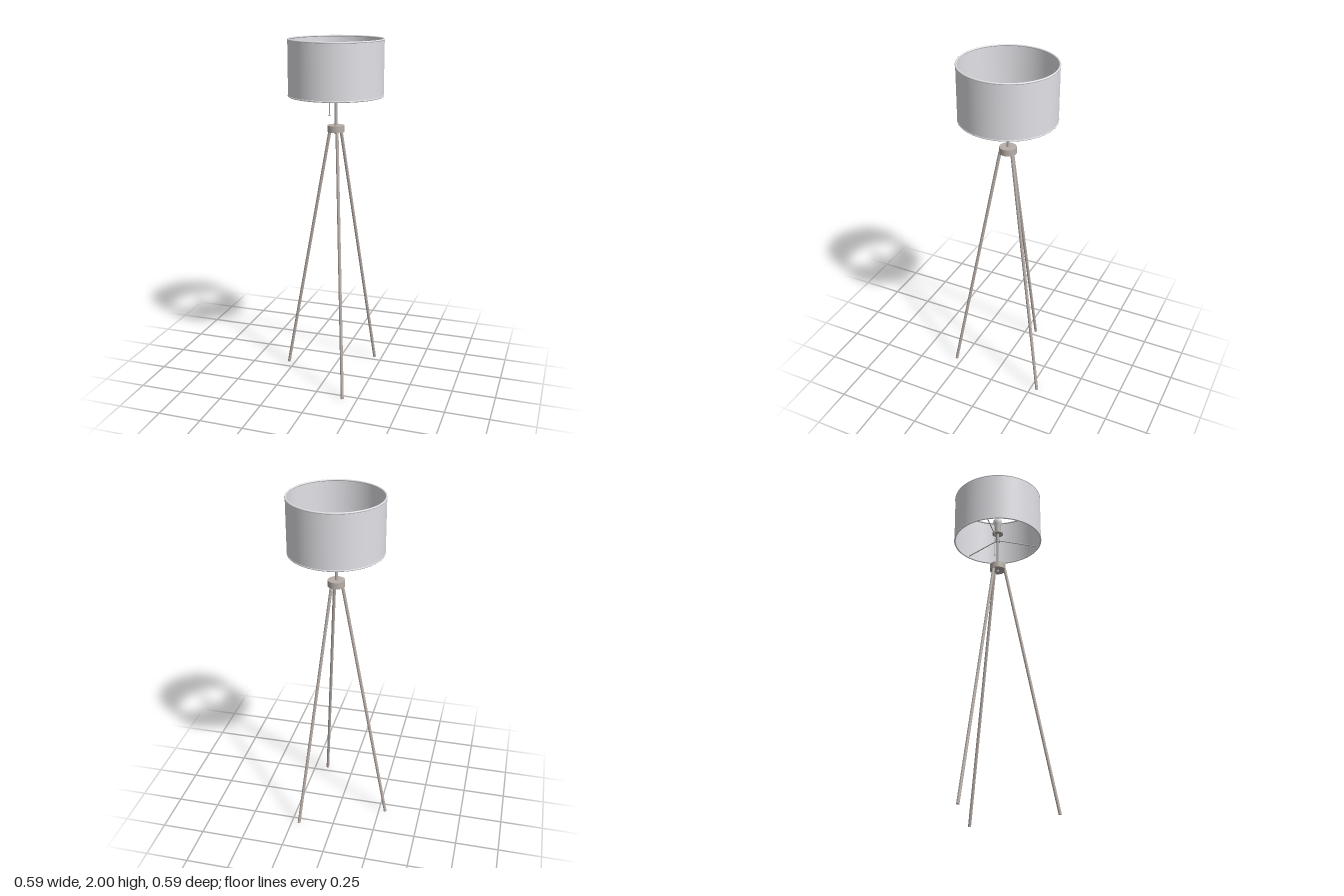
import * as THREE from 'three';

const mat = (name, color, side = THREE.FrontSide) => {
  const m = new THREE.MeshStandardMaterial({ color, side });
  m.name = name;
  return m;
};

export function createModel() {
  const lamp = new THREE.Group();
  lamp.name = 'tripodFloorLamp';

  const wood = mat('warm grey wood', 0xb9afa9);
  const metal = mat('grey metal', 0xb4b0af);
  const fabric = mat('pale grey fabric', 0xe2e1e6, THREE.DoubleSide);
  const glass = mat('white glass', 0xeeeeee);

  // The shade axis sits slightly off the centre of the footprint
  const head = new THREE.Group();
  head.name = 'lampHead';
  head.position.set(0.031, 0, -0.011);
  lamp.add(head);

  const add = (parent, name, geometry, material) => {
    const mesh = new THREE.Mesh(geometry, material);
    mesh.name = name;
    parent.add(mesh);
    return mesh;
  };
  // Round bar between two points
  const bar = (parent, name, a, b, r, material, sides = 16) => {
    const from = new THREE.Vector3(...a), dir = new THREE.Vector3(...b).sub(from);
    const mesh = add(parent, name, new THREE.CylinderGeometry(r, r, dir.length(), sides), material);
    mesh.position.copy(from).addScaledVector(dir, 0.5);
    mesh.quaternion.setFromUnitVectors(new THREE.Vector3(0, 1, 0), dir.normalize());
    return mesh;
  };

  // Tripod legs: foot x, z, then top x, z
  [
    [0.168, 0.287, 0.05, 0.027],
    [0.205, -0.289, 0.051, -0.044],
    [-0.289, -0.062, -0.005, -0.018],
  ].forEach(([fx, fz, tx, tz]) => {
    bar(lamp, 'leg', [fx, 0.002, fz], [tx, 1.495, tz], 0.0088, wood);
  });

  // Hub with a small bolt underneath
  bar(head, 'hub', [0, 1.488, 0], [0, 1.525, 0], 0.0475, wood, 48);
  bar(head, 'hubBolt', [0, 1.477, 0], [0, 1.49, 0], 0.009, metal);

  // Pole, socket and bulb
  bar(head, 'pole', [0, 1.52, 0], [0, 1.76, 0], 0.008, metal);
  bar(head, 'socketFlange', [0, 1.744, 0], [0, 1.754, 0], 0.033, metal, 32);
  bar(head, 'socket', [0, 1.754, 0], [0, 1.795, 0], 0.02, metal, 32);
  const bulbProfile = [[0.014, 1.79], [0.016, 1.8], [0.024, 1.815], [0.028, 1.832],
    [0.0265, 1.843], [0.02, 1.853], [0.01, 1.859], [0, 1.86]];
  add(head, 'bulb', new THREE.LatheGeometry(
    bulbProfile.map(([x, y]) => new THREE.Vector2(x, y)), 32), glass);

  // Pull chain hanging beside the pole
  bar(head, 'chainArm', [-0.015, 1.77, 0], [-0.037, 1.77, 0], 0.004, metal, 10);
  bar(head, 'pullChain', [-0.037, 1.77, 0], [-0.037, 1.58, 0], 0.002, metal, 8);
  add(head, 'chainPull', new THREE.SphereGeometry(0.005, 12, 8), metal).position.set(-0.037, 1.578, 0);

  // Drum shade, open at both ends, with bound rims, a touch deeper than wide
  const drum = new THREE.Group();
  drum.name = 'drumShade';
  drum.scale.z = 1.018;
  head.add(drum);
  const shade = add(drum, 'shade', new THREE.CylinderGeometry(0.263, 0.263, 0.308, 96, 1, true), fabric);
  shade.position.y = 1.844;
  [1.693, 1.995].forEach((y) => {
    const rim = add(drum, 'shadeRim', new THREE.TorusGeometry(0.26, 0.005, 10, 96), fabric);
    rim.rotation.x = Math.PI / 2;
    rim.position.y = y;
  });

  // Spider frame holding the shade to the pole
  bar(head, 'spiderCollar', [0, 1.69, 0], [0, 1.71, 0], 0.014, metal, 24);
  [-73.5, 45, 165].forEach((deg) => {
    const a = THREE.MathUtils.degToRad(deg);
    bar(head, 'spiderArm', [0, 1.7, 0], [0.26 * Math.cos(a), 1.7, 0.26 * Math.sin(a)], 0.003, metal, 10);
  });

  return lamp;
}
